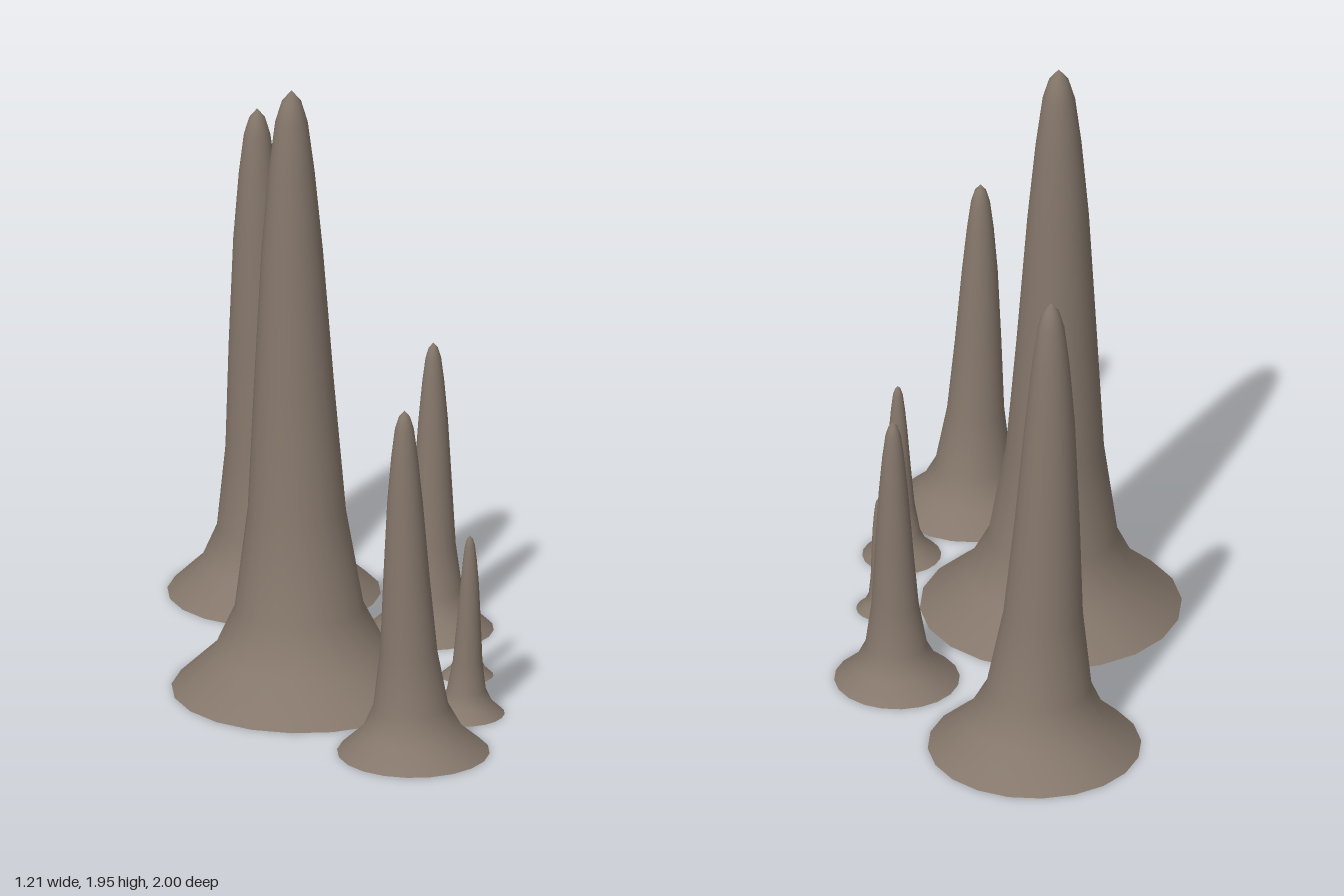
import * as THREE from 'three';
import { mergeVertices } from 'three/addons/utils/BufferGeometryUtils.js';

// Flared spire profile: [radius, height], both as fractions of the full size
const PROFILE = [
  [1, 0], [0.667, 0.063], [0.495, 0.135], [0.375, 0.298], [0.305, 0.51],
  [0.235, 0.73], [0.175, 0.865], [0.125, 0.946], [0.075, 0.981], [0, 1],
];

// Hollow stalagmite whose axis bends from the base centre towards the tip
function stalagmiteGeometry(radius, height, leanX, leanZ) {
  const points = PROFILE.map(([r, y]) => new THREE.Vector2(r * radius, y * height));
  let geometry = new THREE.LatheGeometry(points, 20);
  const pos = geometry.attributes.position;
  for (let i = 0; i < pos.count; i++) {
    const t = pos.getY(i) / height;
    const bend = 1 - (1 - t) ** 2;
    pos.setX(i, pos.getX(i) + leanX * bend);
    pos.setZ(i, pos.getZ(i) + leanZ * bend);
  }
  // Weld the seam so the shading is smooth all round
  geometry.deleteAttribute('normal');
  geometry.deleteAttribute('uv');
  geometry = mergeVertices(geometry, 1e-5);
  geometry.computeVertexNormals();
  return geometry;
}

export function createModel() {
  const group = new THREE.Group();
  group.name = 'stalagmites';

  const stone = new THREE.MeshStandardMaterial({ color: 0x85776b, side: THREE.DoubleSide });
  stone.name = 'brown stone';

  // name, base x, base z, base radius, height, tip x, tip z
  const spires = [
    ['tallStalagmite', -0.2, 0.105, 0.405, 1.945, -0.2, 0.04],
    ['backStalagmite', 0.17, -0.67, 0.33, 1.585, 0.127, -0.7],
    ['frontStalagmite', -0.2, 0.762, 0.236, 1.13, -0.236, 0.768],
    ['sideStalagmite', 0.409, -0.133, 0.194, 0.93, 0.43, -0.153],
    ['smallStalagmite', 0.112, 0.557, 0.122, 0.59, 0.116, 0.579],
    ['tinyStalagmite', 0.29, 0.275, 0.082, 0.392, 0.302, 0.28],
  ];
  for (const [name, x, z, radius, height, tipX, tipZ] of spires) {
    const mesh = new THREE.Mesh(stalagmiteGeometry(radius, height, tipX - x, tipZ - z), stone);
    mesh.name = name;
    mesh.position.set(x, 0, z);
    group.add(mesh);
  }
  return group;
}
